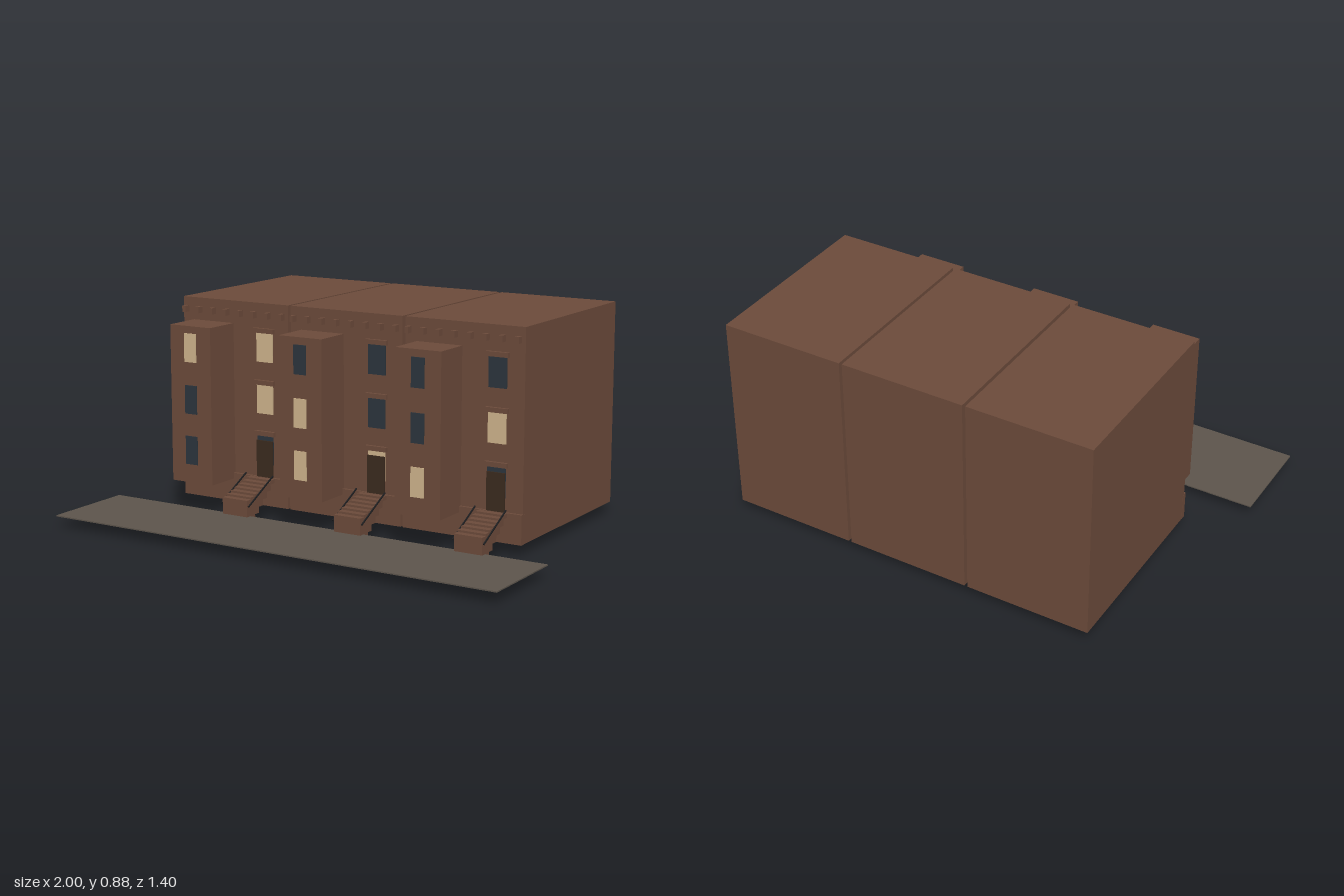
import * as THREE from 'three';

const mat = (name, color) => {
  const m = new THREE.MeshStandardMaterial({ color });
  m.name = name;
  return m;
};

export function createModel() {
  const brown = mat('brownstone', 0x6b4a3a);
  const paving = mat('paving', 0x5c544b);
  const dark = mat('darkGlass', 0x2b343c);
  const lit = mat('litGlass', 0xcdb28a);
  const wood = mat('doorWood', 0x3a2a1e);
  const iron = mat('iron', 0x1c1c1e);

  // Box given by its low and high corners
  const box = (parent, name, m, x0, x1, y0, y1, z0, z1) => {
    const mesh = new THREE.Mesh(new THREE.BoxGeometry(x1 - x0, y1 - y0, z1 - z0), m);
    mesh.position.set((x0 + x1) / 2, (y0 + y1) / 2, (z0 + z1) / 2);
    mesh.name = name;
    parent.add(mesh);
    return mesh;
  };

  // Lit windows per house, listed from the ground floor up
  const litBay = [[0, 0, 1], [1, 1, 0], [1, 0, 0]];
  const litWall = [[0, 1, 1], [1, 0, 0], [0, 1, 0]];
  const floors = [0.217, 0.428, 0.642];
  const doorX = 0.146, bayX = -0.109;

  const buildHouse = (index) => {
    const house = new THREE.Group();
    house.name = 'house' + (index + 1);
    box(house, 'mainBlock', brown, -0.26, 0.26, 0.045, 0.883, -0.7, 0.1);
    box(house, 'plinth', brown, -0.261, 0.261, 0.045, 0.164, 0.09, 0.112);
    box(house, 'bay', brown, bayX - 0.1, bayX + 0.1, 0.14, 0.79, 0.09, 0.262);

    // Windows and lintels on each floor
    floors.forEach((y, f) => {
      box(house, 'bayWindow', litBay[index][f] ? lit : dark,
        bayX - 0.029, bayX + 0.029, y, y + 0.118, 0.26, 0.266);
      box(house, 'wallWindow', litWall[index][f] ? lit : dark,
        doorX - 0.039, doorX + 0.039, y, y + 0.12, 0.098, 0.105);
      box(house, 'lintel', brown, doorX - 0.048, doorX + 0.048, y + 0.12, y + 0.139, 0.095, 0.114);
    });
    box(house, 'door', wood, doorX - 0.039, doorX + 0.039, 0.162, 0.317, 0.104, 0.111);

    // Cornice brackets
    for (let i = 0; i < 8; i++) {
      const x = -0.238 + i * 0.068;
      box(house, 'corniceBracket', brown, x - 0.008, x + 0.008, 0.822, 0.848, 0.104, 0.131);
    }

    // Stoop steps, deeper toward the street
    const h = 0.0167, run = 0.028;
    for (let i = 0; i < 7; i++) {
      const top = 0.167 - i * h / 2, z = 0.127 + i * run;
      box(house, 'step', brown, doorX - 0.06, doorX + 0.06, top - (i + 1) * h, top, z, z + run);
    }

    // Sloped handrails
    const low = new THREE.Vector2(0.323, 0.092), high = new THREE.Vector2(0.148, 0.184);
    for (const side of [-1, 1]) {
      const rail = new THREE.Mesh(new THREE.BoxGeometry(0.005, 0.005, low.distanceTo(high)), iron);
      rail.position.set(doorX + side * 0.066, (low.y + high.y) / 2, (low.x + high.x) / 2);
      rail.rotation.x = Math.atan2(high.y - low.y, low.x - high.x);
      rail.name = 'handrail';
      house.add(rail);
    }
    return house;
  };

  const model = new THREE.Group();
  model.name = 'rowHouses';
  for (let i = 0; i < 3; i++) {
    const house = buildHouse(i);
    house.position.x = (i - 1) * 0.533;
    model.add(house);
  }
  box(model, 'sidewalk', paving, -1, 1, 0.044, 0.049, 0.3, 0.7);
  return model;
}
